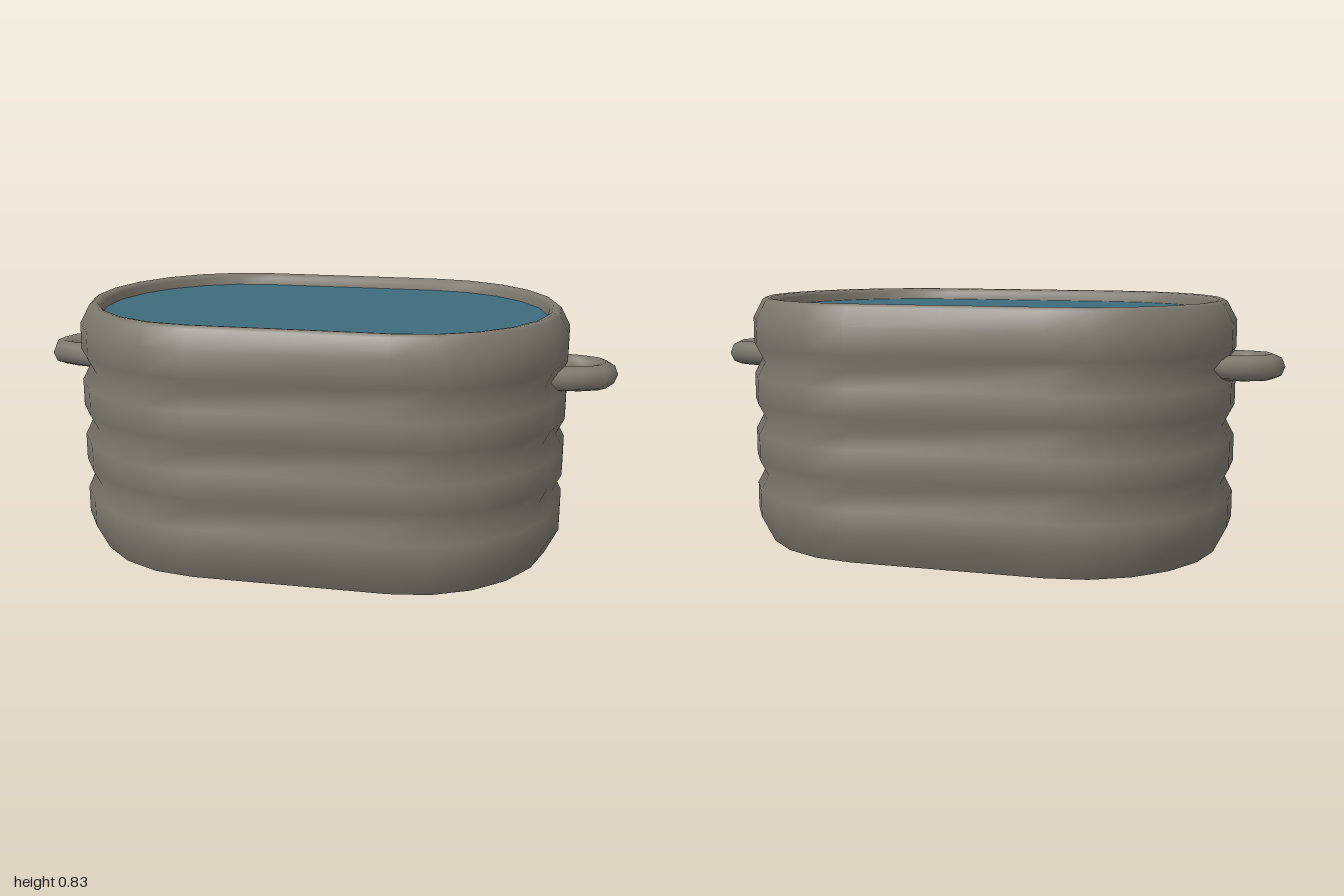
import * as THREE from 'three';

const clay = new THREE.MeshStandardMaterial({ color: 0x7d786d });
const water = new THREE.MeshStandardMaterial({ color: 0x3c6b7c });

// Oval loop with straight sides; r is the half depth in z
function oval(r) {
  const points = [], n = 11;
  for (const end of [0, 1]) {
    for (let i = 0; i <= n; i++) {
      const a = Math.PI / 2 - Math.PI * (i / n + end);
      const side = end ? -1 : 1;
      points.push([side * 0.32 + (r - 0.055) * Math.cos(a), r * Math.sin(a)]);
    }
  }
  return points;
}

// Smooth skin through a list of equally long closed loops
function loft(loops) {
  const n = loops[0].length, index = [];
  for (let j = 0; j < loops.length - 1; j++) {
    for (let i = 0; i < n; i++) {
      const a = j * n + i, b = j * n + (i + 1) % n;
      index.push(a, b, b + n, a, b + n, a + n);
    }
  }
  const g = new THREE.BufferGeometry();
  g.setAttribute('position', new THREE.Float32BufferAttribute(loops.flat(2), 3));
  g.setIndex(index);
  g.computeVertexNormals();
  return g;
}

// Flat oval facing up (dir = 1) or down (dir = -1)
function ovalDisc(r, y, dir) {
  const shape = new THREE.Shape(oval(r).map(([x, z]) => new THREE.Vector2(x, z)));
  return new THREE.ShapeGeometry(shape).rotateX(-dir * Math.PI / 2).translate(0, y, 0);
}

// Ear ring: sections run between an inner and an outer edge point
function handleGeometry() {
  const half = [ // inner x, z, outer x, z
    [0.77, 0.03, 0.77, 0.17],
    [0.835, 0.035, 0.825, 0.153],
    [0.87, 0.05, 0.89, 0.12],
    [0.905, 0.035, 0.97, 0.085],
  ];
  const mirrored = half.map(([a, b, c, d]) => [a, -b, c, -d]).reverse();
  const sections = [...half, [0.92, 0, 1, 0], ...mirrored];
  return loft(sections.map(([ix, iz, ox, oz]) => {
    const loop = [];
    for (let k = 0; k < 8; k++) {
      const a = -k * Math.PI / 4, t = (1 + Math.cos(a)) / 2;
      loop.push([ix + (ox - ix) * t, 0.62 + 0.042 * Math.sin(a), iz + (oz - iz) * t]);
    }
    return loop;
  }));
}

export function createModel() {
  const group = new THREE.Group();
  const add = (name, geometry, material) => {
    const mesh = new THREE.Mesh(geometry, material);
    mesh.name = name;
    group.add(mesh);
    return mesh;
  };

  // Wall profile [half depth, height]: ribs, then the rim and inner lip
  const profile = [[0.53, 0]];
  for (let i = 0; i < 4; i++) {
    const y = 0.09 + i * 0.195;
    profile.push([0.575, y], [0.575, y + 0.09]);
    if (i < 3) profile.push([0.548, y + 0.142]);
  }
  profile.push([0.543, 0.825], [0.53, 0.835], [0.515, 0.833], [0.503, 0.82], [0.5, 0.78]);
  add('ribbedWall', loft(profile.map(([r, y]) => oval(r).map(([x, z]) => [x, y, z]))), clay);

  add('base', ovalDisc(0.53, 0, -1), clay);
  add('waterSurface', ovalDisc(0.502, 0.795, 1), water);

  // One ear at each end
  const ear = handleGeometry();
  add('leftHandle', ear, clay);
  add('rightHandle', ear, clay).rotation.y = Math.PI;

  return group;
}
